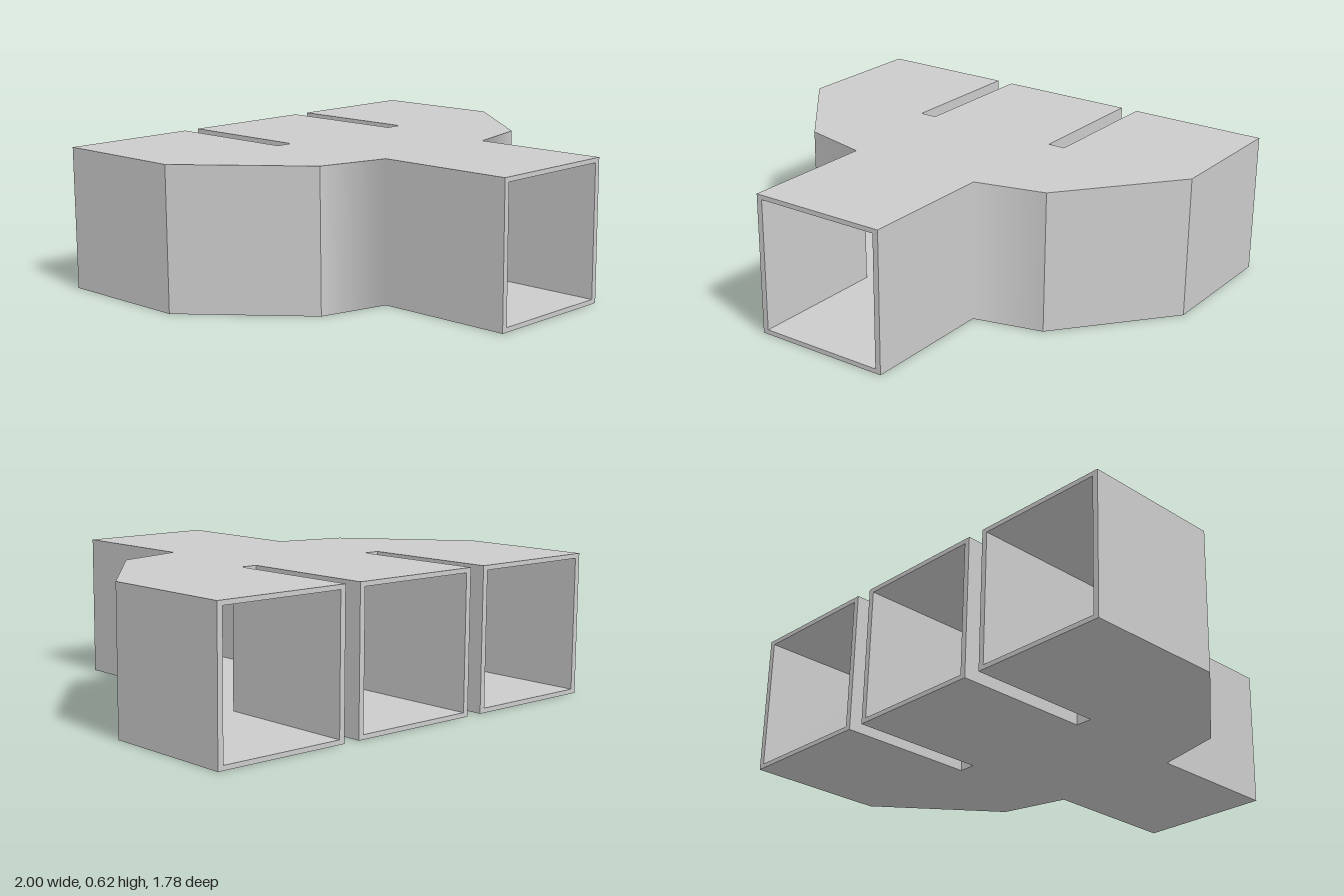
import * as THREE from 'three';
import { mergeGeometries } from 'three/addons/utils/BufferGeometryUtils.js';

const H = 0.615, W = 0.308, END = 0.89;   // height, half width of a pipe, z of the mouths
const T = 0.025, F = 0.02;                // thickness of the walls, of floor and roof
const B = 1 - W;                          // x of the outer branches

const mirrored = (path) => path.map(([x, z]) => [-x, z]).reverse();

// Outer and inner plan of one half, as [x, z]: the flank, then the slot between branches
const flankOut = [[W, END], [W, 0.275], [0.61, 0.2], [1, -0.28], [1, -END]];
const slotOut = [[B - W, -END], [B - W, -0.28], [W, -0.28], [W, -END]];
const flankIn = [[W - T, END], [W - T, 0.255], [0.596, 0.178], [1 - T, -0.289], [1 - T, -END]];
const slotIn = [[B - W + T, -END], [B - W + T, -0.28 + T], [W - T, -0.28 + T], [W - T, -END]];

// Upright wall along a path; it faces to the right of the direction of travel
function wall(path, y0, y1, soft) {
  const pos = [], nor = [];
  for (let i = 0; i + 1 < path.length; i++) {
    const [p, q] = [path[i], path[i + 1]];
    const n = new THREE.Vector3(p[1] - q[1], 0, q[0] - p[0]).normalize();
    const corners = [[p, y0], [q, y0], [q, y1], [p, y0], [q, y1], [p, y1]];
    for (const [[x, z], y] of corners) {
      pos.push(x, y, z);
      // The shoulder is shaded smoothly into the side of the inlet
      const blend = soft && n.z > 0.9 && Math.abs(x) < W + 0.01;
      nor.push(...(blend ? [Math.sign(x), 0, 0] : n.toArray()));
    }
  }
  const g = new THREE.BufferGeometry();
  g.setAttribute('position', new THREE.Float32BufferAttribute(pos, 3));
  g.setAttribute('normal', new THREE.Float32BufferAttribute(nor, 3));
  return g;
}

// Flat plate filling a plan outline, facing up or down
function plate(outline, y, up) {
  const s = up ? 1 : -1;
  const shape = new THREE.Shape(outline.map(([x, z]) => new THREE.Vector2(x, -s * z)));
  const g = new THREE.ShapeGeometry(shape).rotateX(-s * Math.PI / 2).translate(0, y, 0);
  g.deleteAttribute('uv');
  return g.toNonIndexed();
}

function rectangle(Type, hw, y0, y1) {
  return new Type([[-hw, y0], [hw, y0], [hw, y1], [-hw, y1]].map((p) => new THREE.Vector2(...p)));
}

export function createModel() {
  const group = new THREE.Group();
  group.name = 'ductSplitter';
  const material = new THREE.MeshStandardMaterial({ color: 0xcccccc });
  const add = (name, geometry) => {
    const mesh = new THREE.Mesh(geometry, material);
    mesh.name = name;
    group.add(mesh);
    return mesh;
  };

  // Outer skin
  const outline = [...flankOut, ...slotOut, ...mirrored(slotOut), ...mirrored(flankOut)];
  add('outerShell', mergeGeometries([
    ...[flankOut, slotOut, mirrored(slotOut), mirrored(flankOut)].map((p) => wall(p, 0, H, true)),
    plate(outline, H, true),
    plate(outline, 0, false),
  ]));

  // Inner lining, facing the air channel
  const lining = [...flankIn, ...slotIn, ...mirrored(slotIn), ...mirrored(flankIn)];
  add('innerLining', mergeGeometries([
    ...[flankIn, slotIn, mirrored(slotIn), mirrored(flankIn)]
      .map((p) => wall([...p].reverse(), F, H - F, false)),
    plate(lining, F, true),
    plate(lining, H - F, false),
  ]));

  // Frames closing the wall thickness at the four mouths
  const frame = rectangle(THREE.Shape, W, 0, H);
  frame.holes.push(rectangle(THREE.Path, W - T, F, H - F));
  const rim = new THREE.ShapeGeometry(frame);
  add('inletRim', rim).position.z = END;
  for (const [name, x] of [['leftOutletRim', B], ['middleOutletRim', 0], ['rightOutletRim', -B]]) {
    const mesh = add(name, rim);
    mesh.position.set(x, 0, -END);
    mesh.rotation.y = Math.PI;
  }
  return group;
}
